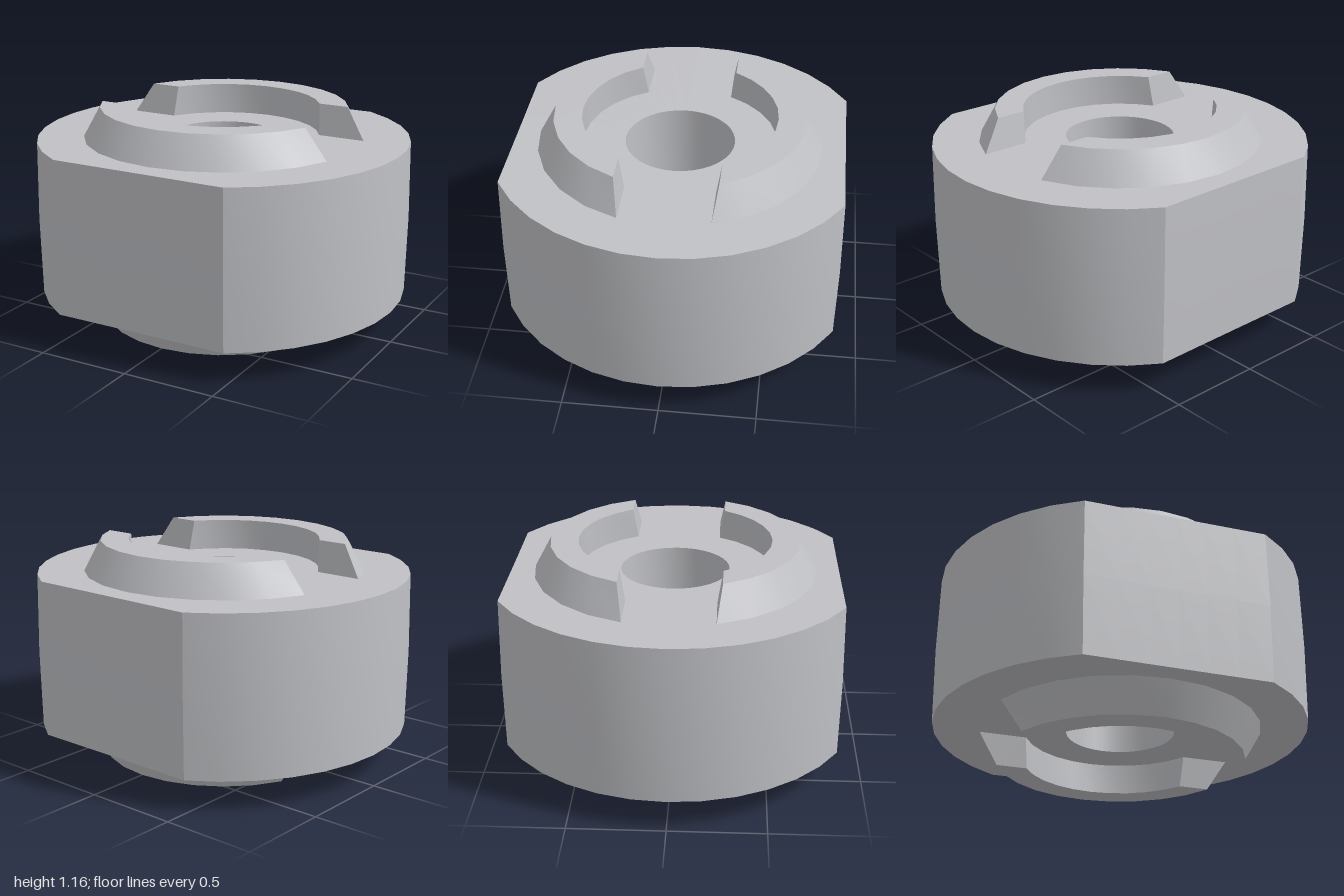
import * as THREE from 'three';
import { toCreasedNormals } from 'three/addons/utils/BufferGeometryUtils.js';

const BOTTOM = 0.165, TOP = 0.995, HEIGHT = 1.16;
const HOLE = 0.288;

// Skins a row of cross-sections; an open row gets flat end caps.
function loft(sections, closed) {
  const pos = [];
  const tri = (...pts) => pts.forEach((p) => pos.push(...p));
  const n = sections.length, m = sections[0].length;
  for (let i = 0; i < (closed ? n : n - 1); i++) {
    const a = sections[i], b = sections[(i + 1) % n];
    for (let j = 0; j < m; j++) {
      const k = (j + 1) % m;
      tri(a[j], a[k], b[k]);
      tri(a[j], b[k], b[j]);
    }
  }
  if (!closed) {
    const s = sections[0], e = sections[n - 1];
    for (let j = 1; j < m - 1; j++) {
      tri(s[0], s[j + 1], s[j]);
      tri(e[0], e[j], e[j + 1]);
    }
  }
  const geo = new THREE.BufferGeometry();
  geo.setAttribute('position', new THREE.Float32BufferAttribute(pos, 3));
  return toCreasedNormals(geo, 0.5);
}

const polar = (r, y, a) => [r * Math.cos(a), y, r * Math.sin(a)];

// Round bored body with two flats, widest at mid height
function bodyGeometry() {
  const corner = Math.acos(0.488);
  const angles = [];
  for (let half = 0; half < 2; half++) {
    const turn = half * Math.PI;
    for (let i = 0; i < 12; i++) angles.push(turn - corner + (2 * corner * i) / 12);
    for (let i = 0; i < 6; i++) angles.push(turn + corner + ((Math.PI - 2 * corner) * i) / 6);
  }
  const rim = (a, inset) => Math.min(1, Math.sin(corner) / Math.abs(Math.sin(a))) - inset;
  return loft(angles.map((a) => [
    polar(HOLE, BOTTOM, a),
    polar(rim(a, 0.007), BOTTOM, a),
    polar(rim(a, 0), (BOTTOM + TOP) / 2, a),
    polar(rim(a, 0.007), TOP, a),
    polar(HOLE, TOP, a),
  ]), true);
}

// Curved ridge: upright inner wall, sloping outer wall, straight-cut ends
function ridgeGeometry() {
  const h = HEIGHT - TOP;
  // radius, height, distance of the end cut from the middle
  const corners = [[0.51, 0, 0.23], [0.747, 0, 0.23], [0.657, h, 0.257], [0.51, h, 0.257]];
  const sections = [];
  for (let i = 0; i <= 10; i++) {
    sections.push(corners.map(([r, y, cut]) => {
      const start = Math.asin(cut / r);
      return polar(r, y, start + ((Math.PI - 2 * start) * i) / 10);
    }));
  }
  return loft(sections, false);
}

export function createModel() {
  const group = new THREE.Group();
  group.name = 'slottedCoupling';
  const steel = new THREE.MeshStandardMaterial({ color: 0xc0c1c5 });
  steel.name = 'light steel';

  const body = new THREE.Mesh(bodyGeometry(), steel);
  body.name = 'body';
  group.add(body);

  // Two ridges on each end face
  const ridge = ridgeGeometry();
  for (const end of ['top', 'bottom']) {
    const pair = new THREE.Group();
    pair.name = end + 'Ridges';
    for (const side of ['Front', 'Back']) {
      const mesh = new THREE.Mesh(ridge, steel);
      mesh.name = end + side + 'Ridge';
      if (side === 'Back') mesh.rotation.y = Math.PI;
      pair.add(mesh);
    }
    pair.position.y = end === 'top' ? TOP : BOTTOM;
    if (end === 'bottom') pair.rotation.z = Math.PI;
    group.add(pair);
  }
  return group;
}
